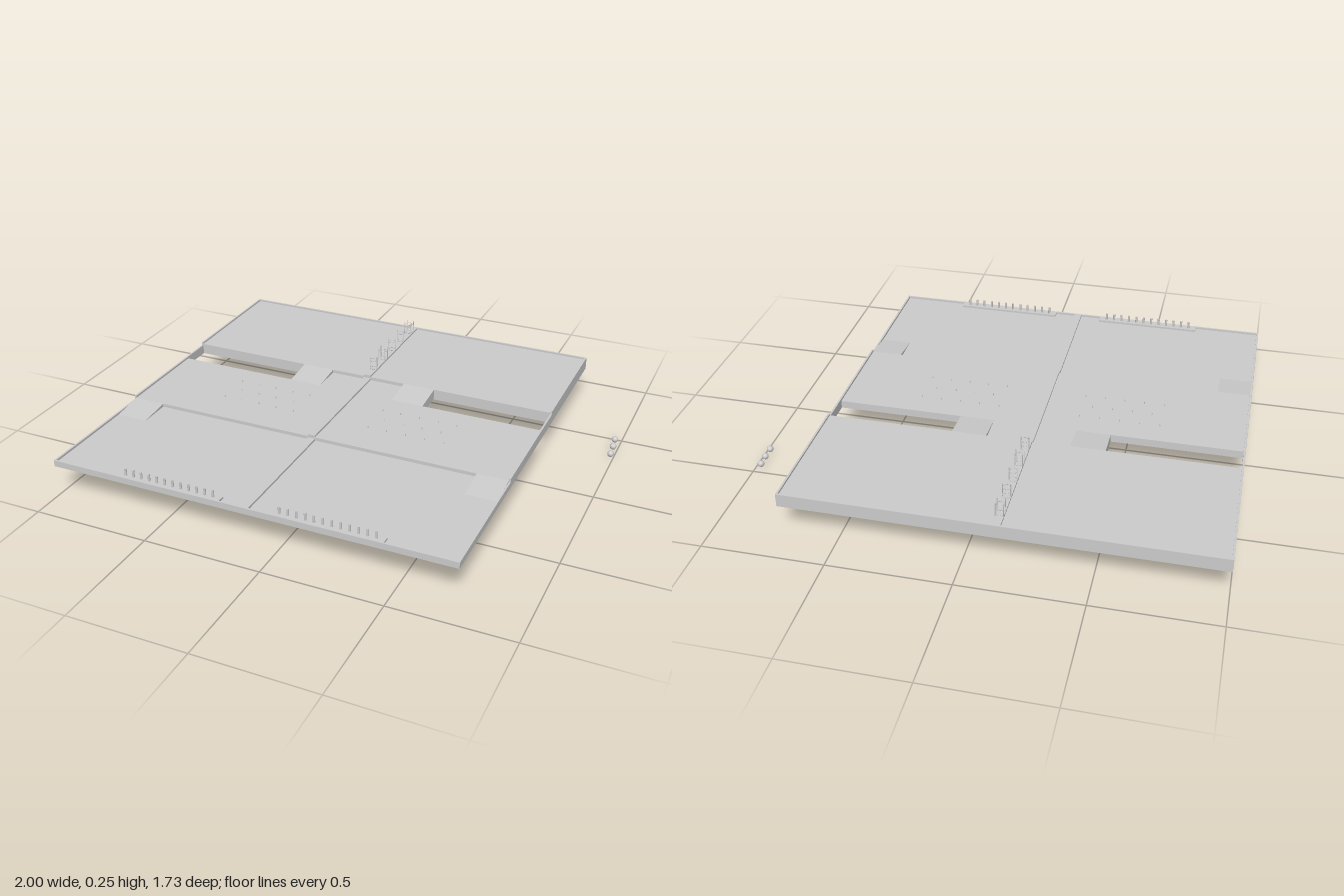
import * as THREE from 'three';

export function createModel() {
  const model = new THREE.Group();
  const mat = new THREE.MeshStandardMaterial({ color: 0xcccccc });
  const smooth = mat;

  const add = (name, geo, x = 0, y = 0, z = 0, parent = model) => {
    const mesh = new THREE.Mesh(geo, smooth);
    mesh.name = name;
    mesh.position.set(x, y, z);
    parent.add(mesh);
    return mesh;
  };
  // Box given by its bounds
  const box = (name, x0, x1, y0, y1, z0, z1) =>
    add(name, new THREE.BoxGeometry(x1 - x0, y1 - y0, z1 - z0),
      (x0 + x1) / 2, (y0 + y1) / 2, (z0 + z1) / 2);
  // Wedge falling towards the front, from yHigh at z0 to yLow at z1
  const ramp = (name, x0, x1, yLow, yHigh, z0, z1) => {
    const s = new THREE.Shape([
      new THREE.Vector2(-z0, yLow), new THREE.Vector2(-z1, yLow), new THREE.Vector2(-z0, yHigh),
    ]);
    const g = new THREE.ExtrudeGeometry(s, { depth: x1 - x0, bevelEnabled: false });
    g.rotateY(Math.PI / 2);
    add(name, g, x0, 0, 0);
  };
  const pin = (name, x, z, y0, y1, r, parent) =>
    add(name, new THREE.CylinderGeometry(r, r, y1 - y0, 8), x, (y0 + y1) / 2, z, parent);

  const L = -1, R = 0.73, F = 0.865, B = -0.865, bottom = 0.138, t = 0.008;
  const slotB = -0.288, slotF = -0.15, stepF = 0.285;
  const barL = -0.15, barR = -0.117, mid = (barL + barR) / 2;
  const slotL = -0.45, slotR = 0.19;

  // Three floor levels, with a bridge between the two side slots
  box('frontFloor', L, R, bottom, 0.156, stepF, F);
  box('middleFloor', L, R, bottom, 0.171, slotF, stepF);
  box('bridgeFloor', slotL, slotR, bottom, 0.171, slotB, slotF);
  box('backFloor', L, R, bottom, 0.186, B, slotB);

  // Side rims and centre bar step up with the floors
  const tiers = [[0.165, stepF, F], [0.18, slotB, stepF], [0.194, B, slotB]];
  for (const [top, z0, z1] of tiers) {
    box('leftRim', R - t, R, bottom, top, z0, z1);
    box('rightRim', L, L + t, bottom, top, z0, z1);
    box('centreBar', barL, barR, bottom, top, z0, z1);
  }
  box('frontRim', L, R, bottom, 0.165, F - t, F);
  box('backRim', L, R, bottom, 0.194, B, B + t);

  // Ramps between levels
  ramp('upperRamp', slotL, -0.305, 0.171, 0.186, slotB, slotF);
  ramp('upperRamp', 0.045, slotR, 0.171, 0.186, slotB, slotF);
  ramp('lowerRamp', L + t, -0.855, 0.156, 0.171, stepF, 0.425);
  ramp('lowerRamp', 0.59, R - t, 0.156, 0.171, stepF, 0.425);

  // Front racks: a strip with a row of twelve pins
  for (const [x0, x1] of [[-0.705, -0.243], [-0.027, 0.438]]) {
    box('pinStrip', x0, x1, 0.15, 0.165, 0.824, F);
    for (let i = 0; i < 12; i++) {
      pin('rackPin', x0 + 0.034 + i * (x1 - x0 - 0.068) / 11, 0.842, 0.16, 0.195, 0.005);
    }
  }

  // Small pegs staggered on the middle floor
  for (const cx of [-0.47, 0.22]) {
    for (let row = 0; row < 3; row++) {
      const n = row === 1 ? 4 : 5;
      for (let i = 0; i < n; i++) {
        pin('floorPeg', cx + (i - (n - 1) / 2) * 0.085, -0.04 + row * 0.08, 0.168, 0.179, 0.002);
      }
    }
  }

  // Ringed posts along the back of the centre bar
  const r = 0.0165;
  [-0.36, -0.467, -0.575, -0.682, -0.79].forEach((z, i) => {
    const gate = new THREE.Group();
    gate.name = 'ringGate';
    gate.position.set(mid, 0, z);
    model.add(gate);
    const wide = i === 1 || i === 4;
    for (const x of [-r, r]) {
      for (const dz of wide ? [-r, r] : [0]) pin('gatePost', x, dz, 0.19, 0.253, 0.0015, gate);
    }
    for (const y of [0.199, 0.239]) {
      const ring = new THREE.TorusGeometry(r, 0.0013, 6, 24);
      ring.rotateX(Math.PI / 2);
      add('gateRing', ring, 0, y, 0, gate);
    }
  });

  // Loose balls beside the board
  for (const [x, y, z] of [[0.986, 0.014, -0.348], [0.982, 0.018, -0.408], [0.976, 0.021, -0.467]]) {
    add('ball', new THREE.SphereGeometry(0.014, 24, 16), x, y, z);
  }
  return model;
}
